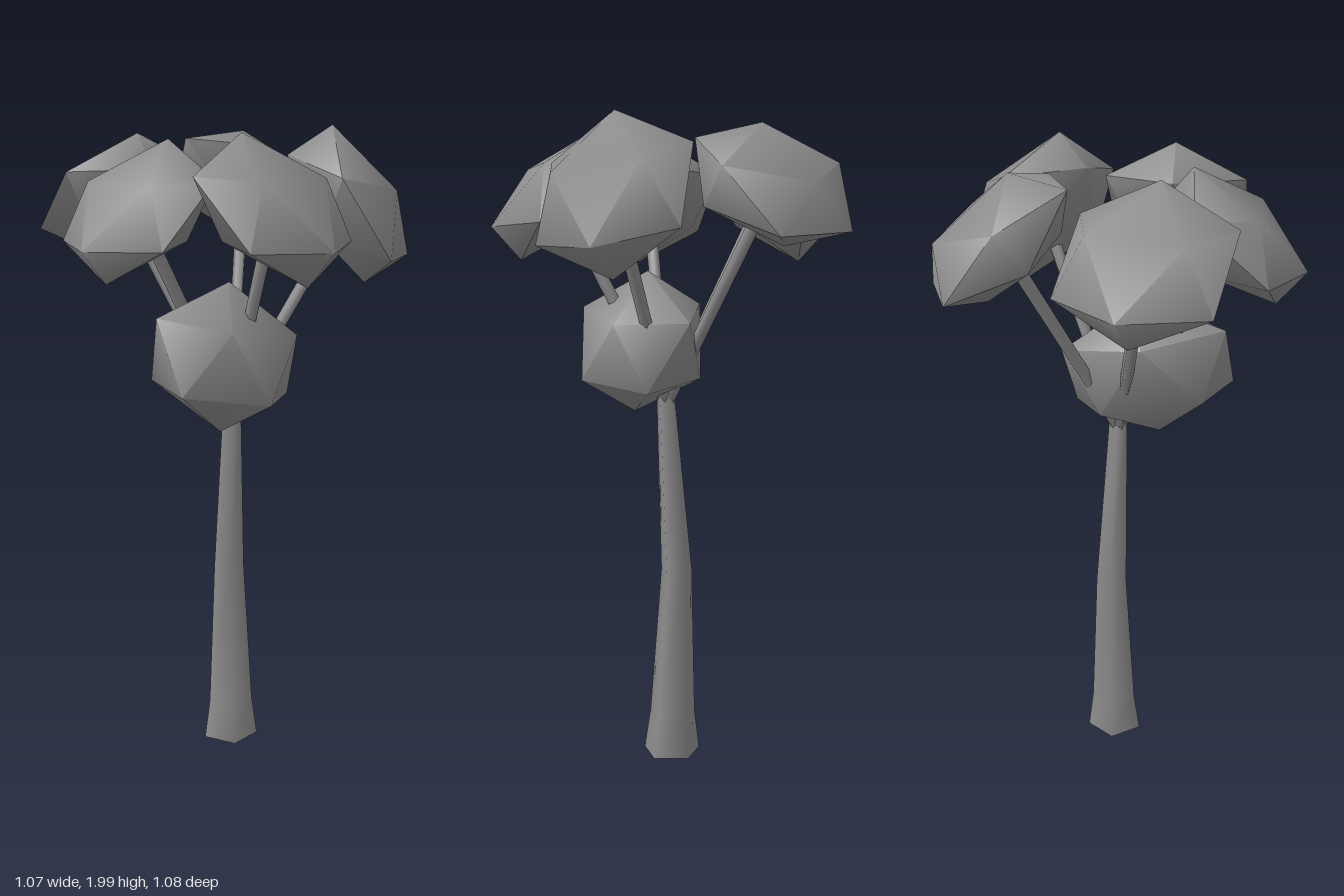
import * as THREE from 'three';
import { toCreasedNormals } from 'three/addons/utils/BufferGeometryUtils.js';

const grey = new THREE.MeshStandardMaterial({ color: 0x8c8c8c });
grey.name = 'grey';

// Foliage pads. pos: centre, out: horizontal direction it leans to,
// tilt and spin in degrees, size: width, thickness and length factors
const pads = [
  { name: 'frontFoliage', pos: [-0.13, 1.778, 0.322], out: [0, 1], tilt: 42, spin: 0, size: [1, 0.52, 1.07] },
  { name: 'rightFoliage', pos: [-0.325, 1.765, -0.02], out: [-1, 0], tilt: 41, spin: 0, size: [0.97, 0.5, 1.04] },
  { name: 'backFoliage', pos: [-0.1, 1.77, -0.338], out: [0.26, -0.97], tilt: 42, spin: 0, size: [1.08, 0.52, 1.04] },
  { name: 'backLeftFoliage', pos: [0.324, 1.79, -0.208], out: [0.96, -0.28], tilt: 40, spin: -84, size: [1.07, 0.53, 1.06] },
  { name: 'frontLeftFoliage', pos: [0.288, 1.757, 0.255], out: [0.74, 0.67], tilt: 57, spin: 7, size: [1.04, 0.6, 1.1] },
  { name: 'lowerFoliage', pos: [-0.07, 1.32, 0.078], out: [0.15, 0.99], tilt: 60, spin: -10, size: [1.18, 0.8, 0.94] },
];

// Flattened twenty-sided ball, smooth except at its sharpest edges
function makePad({ name, pos, out, tilt, spin, size }) {
  const geo = new THREE.IcosahedronGeometry(0.25, 0);
  geo.scale(...size);
  geo.rotateY(THREE.MathUtils.degToRad(spin));
  const mesh = new THREE.Mesh(toCreasedNormals(geo, 1.1), grey);
  mesh.name = name;
  mesh.rotation.set(THREE.MathUtils.degToRad(tilt), Math.atan2(out[0], out[1]), 0, 'YXZ');
  mesh.position.set(...pos);
  return mesh;
}

// Tapered, slightly bent five-sided trunk: [y, radius, centre x, centre z] from top to base
function makeTrunk() {
  const rows = [[1.17, 0.029, 0.018, 0.025], [0.6, 0.051, 0.037, -0.006],
    [0.13, 0.075, 0.032, 0.006], [0, 0.093, 0.03, 0.008]];
  const geo = new THREE.CylinderGeometry(1, 1, 3, 5, 3);
  geo.rotateY(Math.PI);
  const p = geo.attributes.position;
  for (let i = 0; i < p.count; i++) {
    const [y, r, cx, cz] = rows[Math.round(1.5 - p.getY(i))];
    p.setXYZ(i, cx + p.getX(i) * r, y, cz + p.getZ(i) * r);
  }
  const mesh = new THREE.Mesh(toCreasedNormals(geo, 1.35), grey);
  mesh.name = 'trunk';
  return mesh;
}

// Straight branch from the trunk top into a pad
function makeBranch(target) {
  const a = new THREE.Vector3(0.018, 1.13, 0.022);
  const b = new THREE.Vector3(...target);
  const dir = b.clone().sub(a);
  const geo = new THREE.CylinderGeometry(0.021, 0.019, dir.length(), 5);
  const mesh = new THREE.Mesh(toCreasedNormals(geo, 1.35), grey);
  mesh.position.copy(a).add(b).multiplyScalar(0.5);
  mesh.quaternion.setFromUnitVectors(new THREE.Vector3(0, 1, 0), dir.normalize());
  mesh.name = 'branch';
  return mesh;
}

export function createModel() {
  const tree = new THREE.Group();
  tree.name = 'tree';
  tree.add(makeTrunk());
  for (const pad of pads) tree.add(makePad(pad), makeBranch(pad.pos));
  return tree;
}
